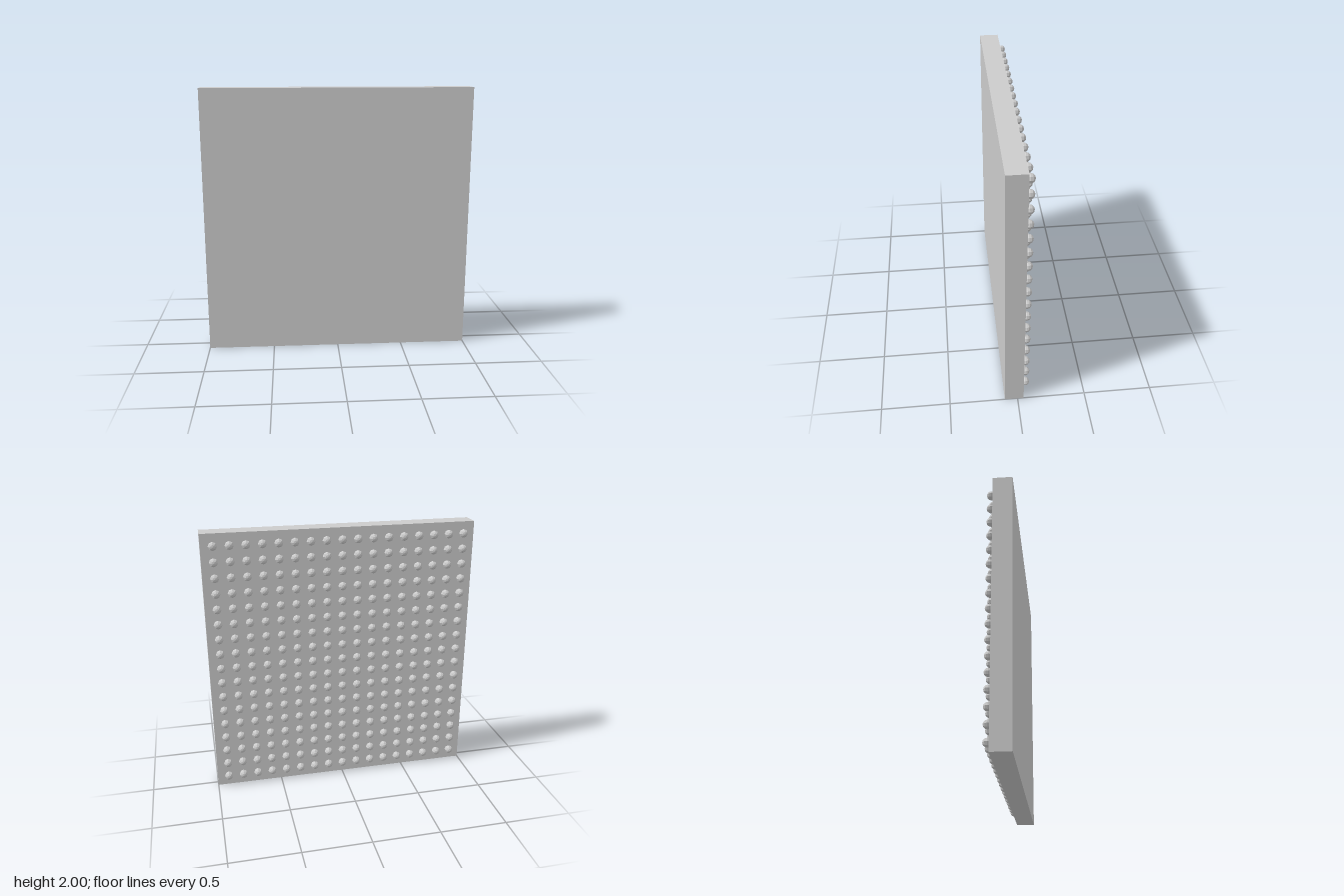
import * as THREE from 'three';

export function createModel() {
  const model = new THREE.Group();
  const material = new THREE.MeshStandardMaterial({ color: 0xcccccc, flatShading: true });

  // Flat square slab
  const panel = new THREE.Mesh(new THREE.BoxGeometry(2, 2, 0.14), material);
  panel.name = 'panel';
  panel.position.set(0, 1, 0.025);
  model.add(panel);

  // Grid of faceted studs, poles facing backwards, partly sunk into the slab
  const studs = new THREE.Group();
  studs.name = 'studs';
  const count = 17, pitch = 0.1143, radius = 0.032;
  const studGeometry = new THREE.SphereGeometry(radius, 8, 6).rotateX(-Math.PI / 2);
  for (let row = 0; row < count; row++) {
    for (let col = 0; col < count; col++) {
      const stud = new THREE.Mesh(studGeometry, material);
      stud.name = 'stud';
      stud.position.set((col - (count - 1) / 2) * pitch, 1 + (row - (count - 1) / 2) * pitch, -0.095 + radius);
      studs.add(stud);
    }
  }
  model.add(studs);
  return model;
}
